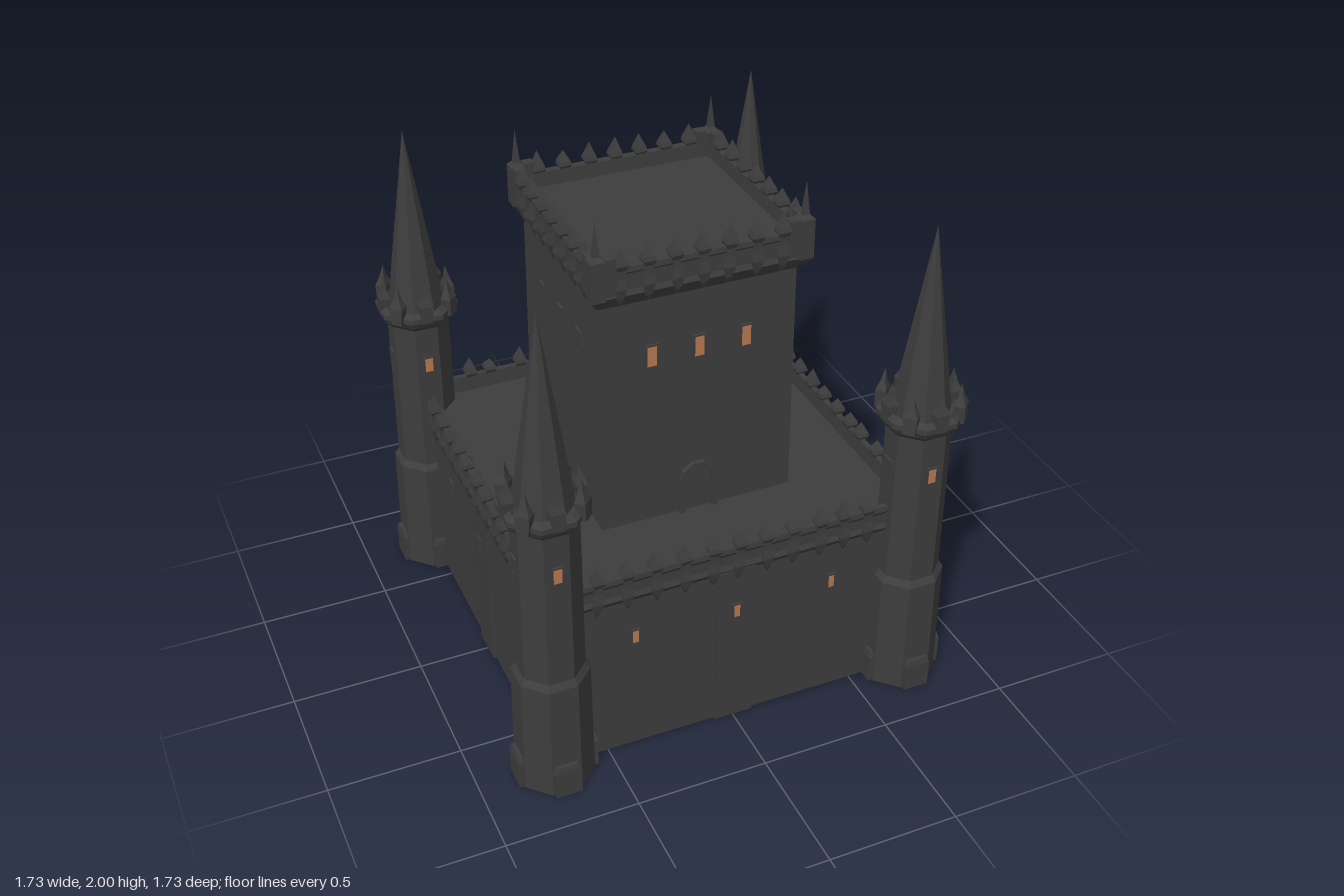
import * as THREE from 'three';

const stone = new THREE.MeshStandardMaterial({ color: 0x3d3d3d, flatShading: true });
stone.name = 'darkStone';
const glow = new THREE.MeshStandardMaterial({ color: 0xb87850, flatShading: true });
glow.name = 'windowGlow';

// small seeded generator for uneven battlements
let seed = 7;
const rand = () => (seed = (seed * 16807) % 2147483647) / 2147483647;

function add(parent, name, geometry, material = stone, x = 0, y = 0, z = 0) {
  const geo = geometry.index ? geometry.toNonIndexed() : geometry;
  geo.computeVertexNormals();
  const mesh = new THREE.Mesh(geo, material);
  mesh.name = name;
  mesh.position.set(x, y, z);
  parent.add(mesh);
  return mesh;
}

function addGroup(parent, name, x = 0, y = 0, z = 0, turn = 0) {
  const g = new THREE.Group();
  g.name = name;
  g.position.set(x, y, z);
  g.rotation.y = turn;
  parent.add(g);
  return g;
}

// prism-like solid from [half width, height] pairs, flat sides facing the axes
function faceted(profile, sides) {
  const k = 1 / Math.cos(Math.PI / sides);
  const pts = profile.map(([r, y]) => new THREE.Vector2(r * k, y));
  return new THREE.LatheGeometry(pts, sides, Math.PI / sides, Math.PI * 2);
}

// pointed merlon with a hanging tip below the parapet
function addMerlon(parent, x, y, z, h) {
  const g = faceted([[0, -0.14], [0.012, -0.11], [0.021, -0.07], [0.015, -0.03], [0.015, 0.0],
    [0.024, 0.02], [0.02, 0.035], [0, h]], 4);
  const m = add(parent, 'merlon', g, stone, x, y, z);
  m.rotation.z = (rand() - 0.5) * 0.12;
}

// framed window with a thin pane, facing +z
function addWindow(parent, x, y, z, w, h, lit) {
  const g = addGroup(parent, 'window', x, y, z);
  const t = 0.007;
  for (const s of [-1, 1]) {
    add(g, 'windowJamb', new THREE.BoxGeometry(t, h + 2 * t, 0.012), stone, s * (w + t) / 2, 0, 0);
    add(g, 'windowSill', new THREE.BoxGeometry(w, t, 0.012), stone, 0, s * (h + t) / 2, 0);
  }
  add(g, 'windowPane', new THREE.BoxGeometry(w, h, 0.004), lit ? glow : stone, 0, 0, 0.001);
}

// arched doorway: raised surround and recessed leaf
function addDoor(parent, y, z) {
  const arch = (r, h) => {
    const s = new THREE.Shape();
    s.moveTo(-r, 0);
    s.lineTo(r, 0);
    for (let i = 0; i <= 5; i++) {
      const a = i * Math.PI / 5;
      s.lineTo(Math.cos(a) * r, h + Math.sin(a) * r);
    }
    return s;
  };
  const frame = arch(0.075, 0.135);
  frame.holes.push(arch(0.052, 0.135));
  add(parent, 'doorSurround', new THREE.ExtrudeGeometry(frame, { depth: 0.022, bevelEnabled: false }), stone, 0, y, z);
  add(parent, 'doorLeaf', new THREE.ExtrudeGeometry(arch(0.055, 0.135), { depth: 0.006, bevelEnabled: false }), stone, 0, y, z);
}

function addTower(parent, x, z) {
  const tower = addGroup(parent, 'cornerTower', x, 0, z);
  add(tower, 'towerShaft', faceted([[0, 0], [0.135, 0], [0.13, 0.48], [0.114, 0.505], [0.11, 1.13],
    [0.135, 1.155], [0.148, 1.18], [0.148, 1.2], [0.125, 1.215], [0.115, 1.195], [0, 1.195]], 8));
  add(tower, 'towerSpire', faceted([[0.1, 1.19], [0.078, 1.36], [0, 1.92]], 8));
  for (let i = 0; i < 8; i++) {
    const side = addGroup(tower, 'towerSide', 0, 0, 0, i * Math.PI / 4);
    const diagonal = i % 2;
    // collar spikes
    const spike = add(side, 'collarSpike', faceted([[0, 0], [0.022, 0], [0.027, 0.07], [0.014, 0.1], [0, 0.155]], 4),
      stone, 0, 1.175, diagonal ? 0.146 : 0.132);
    spike.scale.z = 0.75;
    spike.rotation.x = -0.06;
    if (!diagonal) {
      // footing and slit window
      const foot = add(side, 'footing', faceted([[0, 0], [0.05, 0], [0.05, 0.11], [0.04, 0.135], [0, 0.135]], 4), stone, 0, 0, 0.125);
      foot.scale.z = 0.55;
      addWindow(side, 0, 0.97, 0.112, 0.032, 0.06, i % 4 === 0);
    }
  }
}

export function createModel() {
  const castle = new THREE.Group();
  castle.name = 'castle';

  // outer ward with parapet and raised floor
  add(castle, 'outerWalls', faceted([[0, 0.008], [0.715, 0.008], [0.71, 0.68], [0.732, 0.71], [0.724, 0.73], [0.724, 0.77],
    [0.732, 0.785], [0.73, 0.805], [0.708, 0.805], [0.704, 0.74], [0, 0.74]], 4));
  // central keep with flared parapet
  add(castle, 'keep', faceted([[0.375, 0.74], [0.37, 1.66], [0.4, 1.71], [0.393, 1.73], [0.393, 1.79],
    [0.402, 1.8], [0.4, 1.82], [0.37, 1.82], [0.366, 1.765], [0, 1.765]], 4));

  const keepLit = [[1, 1, 1], [1, 0, 1], [0, 1, 0], [0, 0, 0]];
  const wallLit = [[1, 1, 1], [0, 1, 0], [0, 0, 0], [0, 0, 1]];
  for (let s = 0; s < 4; s++) {
    const side = addGroup(castle, 'castleSide', 0, 0, 0, s * Math.PI / 2);
    add(side, 'wallButtress', new THREE.BoxGeometry(0.15, 0.69, 0.03), stone, 0, 0.353, 0.712);
    for (let i = -5; i <= 5; i++) addMerlon(side, i * 0.104 + (rand() - 0.5) * 0.03, 0.795, 0.724, 0.06 + rand() * 0.03);
    for (let i = -3; i <= 3; i++) addMerlon(side, i * 0.1, 1.81, 0.39, 0.075 + rand() * 0.02);
    for (let i = -1; i <= 1; i++) {
      addWindow(side, i * 0.18, 1.435, 0.374, 0.036, 0.08, keepLit[s][i + 1]);
      addWindow(side, i * 0.39, 0.515, i ? 0.714 : 0.729, 0.024, 0.055, wallLit[s][i + 1]);
    }
    if (s % 2 === 0) addDoor(side, 0.74, 0.37);

    // keep corner post and spike
    const corner = addGroup(side, 'keepCorner', 0.385, 0, 0.385);
    add(corner, 'cornerPost', faceted([[0, 1.67], [0.027, 1.71], [0.027, 1.86], [0.012, 1.875], [0, 2.0]], 4));
    for (const [x, z] of [[-0.045, 0.005], [0.005, -0.045]])
      add(corner, 'cornerBlock', new THREE.BoxGeometry(0.04, 0.14, 0.04), stone, x, 1.795, z);
  }

  for (const x of [-0.71, 0.71]) for (const z of [-0.71, 0.71]) addTower(castle, x, z);
  return castle;
}
